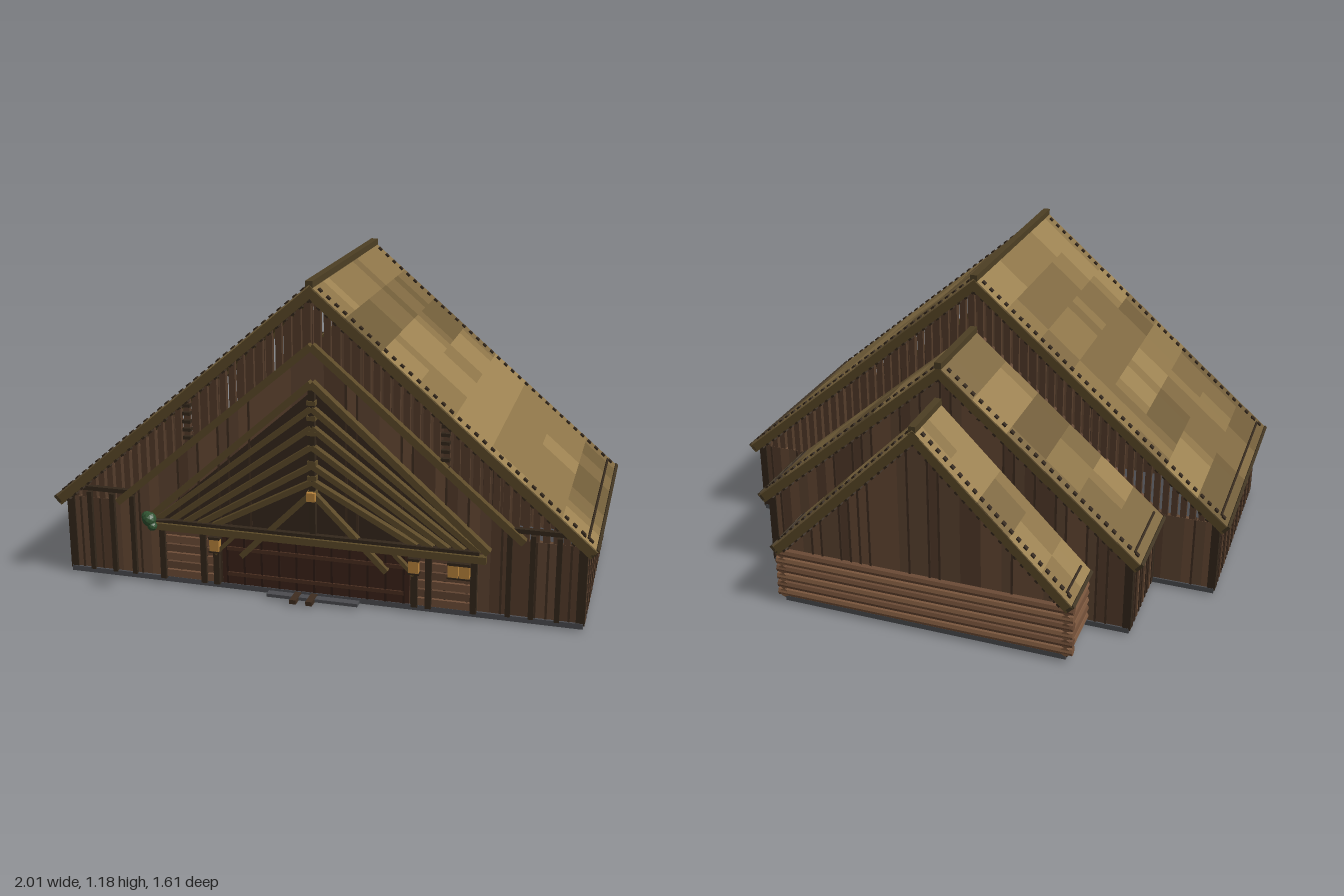
import * as THREE from 'three';
import { mergeGeometries } from 'three/addons/utils/BufferGeometryUtils.js';

const ROOF = [0x9a8050, 0x8b7347, 0x7d6740, 0x6f5b38];
const WALL = [0x5f4532, 0x543c2b, 0x694b36];
const DARK = 0x33271b, TRIM = 0x5c4a28, BATTEN = 0x3f2d20;

export function createModel() {
  const root = new THREE.Group();
  let seed = 7;
  const rand = () => (seed = (seed * 16807) % 2147483647) / 2147483647;

  // Collect geometries by part and colour, merged into one mesh each at the end
  const parts = new Map();
  const put = (name, color, geo) => {
    const key = name + '|' + color;
    if (!parts.has(key)) parts.set(key, { name, color, geos: [] });
    parts.get(key).geos.push(geo.index ? geo.toNonIndexed() : geo);
  };
  const box = (name, color, w, h, d, x, y, z) =>
    put(name, color, new THREE.BoxGeometry(w, h, d).translate(x, y, z));
  // Straight beam in a plane of constant z
  const beam = (name, color, x1, y1, x2, y2, z, t, d) =>
    put(name, color, new THREE.BoxGeometry(Math.hypot(x2 - x1, y2 - y1), t, d)
      .rotateZ(Math.atan2(y2 - y1, x2 - x1))
      .translate((x1 + x2) / 2, (y1 + y2) / 2, z));
  // Upright board with sloping ends
  const plank = (name, color, x0, x1, bottom, top, z, d) => {
    if (top(x0) - bottom(x0) < 0.004 && top(x1) - bottom(x1) < 0.004) return;
    const s = new THREE.Shape([[x0, bottom(x0)], [x1, bottom(x1)], [x1, top(x1)], [x0, top(x0)]]
      .map(p => new THREE.Vector2(...p)));
    put(name, color, new THREE.ExtrudeGeometry(s, { depth: d, bevelEnabled: false }).translate(0, 0, z - d / 2));
  };

  // Three stepped halls, each with its own roof
  const halls = [
    { name: 'main', peak: 1.165, half: 1.0, eave: 0.31, z0: -0.2, z1: 0.69, wall: 0.95, w0: -0.18, w1: 0.66, rows: 8, cols: 14 },
    { name: 'middle', peak: 0.965, half: 0.76, eave: 0.31, z0: -0.56, z1: -0.2, wall: 0.71, w0: -0.54, w1: -0.18, rows: 6, cols: 6 },
    { name: 'rear', peak: 0.83, half: 0.58, eave: 0.25, z0: -0.8, z1: -0.56, wall: 0.54, w0: -0.765, w1: -0.54, rows: 5, cols: 4 },
  ];
  const T = 0.024;

  function buildRoof(h) {
    const rise = h.peak - h.eave, len = Math.hypot(rise, h.half), a = Math.atan2(rise, h.half);
    const zc = (h.z0 + h.z1) / 2, depth = h.z1 - h.z0;
    for (const s of [-1, 1]) {
      // Place a box at distance u down the slope and height v above it
      const onSlope = (name, color, w, t, d, u, v, z) => put(name, color,
        new THREE.BoxGeometry(w, t, d).rotateZ(-s * a).translate(
          s * (u * Math.cos(a) + v * Math.sin(a)), h.peak - u * Math.sin(a) + v * Math.cos(a), z));
      onSlope(h.name + 'RoofDeck', TRIM, len, T - 0.004, depth, len / 2, -T / 2 - 0.002, zc);
      // Patchwork of thatch panels
      for (let r = 0; r < h.rows; r++) {
        let tone = Math.floor(rand() * 4);
        for (let c = 0; c < h.cols; c++) {
          if (rand() < 0.4) tone = Math.min(3, Math.max(0, tone + (rand() < 0.5 ? -1 : 1)));
          onSlope(h.name + 'RoofPanels', ROOF[tone], len / h.rows, 0.005, depth / h.cols,
            (r + 0.5) * len / h.rows, -0.002, h.z0 + (c + 0.5) * depth / h.cols);
        }
      }
      // Pegs down the gable edges and a pole above the eave
      const n = Math.round(len / 0.038);
      for (let i = 1; i < n; i++) {
        const edges = h.name === 'main' ? [h.z0 + 0.03, h.z1 - 0.03] : [h.z0 + 0.03];
        for (const z of edges) onSlope('roofPegs', DARK, 0.016, 0.008, 0.016, i * len / n, 0.003, z);
      }
      onSlope('eavePole', DARK, 0.008, 0.006, depth - 0.06, len - 0.05, 0.002, zc);
      onSlope('eaveBoard', 0x3f3320, 0.012, T + 0.01, depth, len - 0.004, -T / 2, zc);
      // Sheathing ends and barge boards on the gable
      for (const z of [h.z0 + 0.01, h.z1 - 0.01]) {
        onSlope('bargeBoards', TRIM, len, 0.016, 0.02, len / 2, -T - 0.006, z);
        for (let i = 1; i < n; i++) onSlope('rafterPegs', DARK, 0.014, 0.008, 0.02, i * len / n, -T - 0.016, z);
      }
    }
    box('ridgeCap', 0x4d3f24, 0.026, 0.024, depth, 0, h.peak + 0.002, zc);
  }

  function buildGable(h, z, slatted) {
    const slope = (h.peak - h.eave) / h.half, n = Math.round(h.wall / 0.04), w = h.wall / n;
    const top = x => h.peak - 0.033 - slope * Math.abs(x);
    const solid = slatted ? x => Math.min(top(x), Math.max(0.31, 0.95 - 0.868 * Math.abs(x))) : top;
    for (let i = -n; i < n; i++) {
      const x = i * w;
      plank(h.name + 'GableBoards', WALL[Math.floor(rand() * 3)], x, x + w, () => 0.02, solid, z, 0.018);
      if (rand() < 0.5) plank('gableBattens', BATTEN, x - 0.004, x + 0.004, () => 0.02, solid, z, 0.026);
    }
    // Open slats below the rafters
    if (slatted) for (let i = -27; i < 27; i++) {
      const x = (i + 0.5) * 0.035;
      plank('gableSlats', WALL[1], x - 0.0115, x + 0.0115, solid, top, z, 0.016);
    }
  }

  for (const h of halls) {
    buildRoof(h);
    const zc = (h.w0 + h.w1) / 2, d = h.w1 - h.w0;
    box('foundation', 0x4b4c50, h.wall * 2 + 0.02, 0.02, d + 0.01, 0, 0.018, zc);
    buildGable(h, h.w0 + 0.01, h.name === 'main');
    if (h.name === 'main') buildGable(h, h.w1 - 0.012, true);
    for (const s of [-1, 1]) {
      const x = s * h.wall, high = h.eave - 0.02;
      box(h.name + 'SideWall', WALL[1], 0.02, high, d, x, 0.02 + high / 2, zc);
      for (const z of [h.w0 + 0.01, h.w1 - 0.012]) box('cornerPosts', DARK, 0.03, high, 0.028, x, 0.02 + high / 2, z);
      if (h.name === 'rear') continue;
      const n = Math.round(d / 0.033);
      for (let i = 1; i < n; i++)
        box('sideBattens', i % 3 ? BATTEN : WALL[2], 0.012, high, 0.009 + 0.006 * rand(),
          x + s * 0.01, 0.02 + high / 2, h.w0 + i * d / n);
    }
  }

  // Log courses round the rear hall
  for (let i = 0; i < 6; i++) {
    const y = 0.047 + i * 0.034, c = i % 2 ? 0x6b4a34 : 0x7a563c;
    const log = (len) => new THREE.CylinderGeometry(0.018, 0.018, len, 8);
    put('rearLogs', c, log(1.15).rotateZ(Math.PI / 2).translate(0, y, -0.765));
    for (const s of [-1, 1]) put('sideLogs', c, log(0.24).rotateX(Math.PI / 2).translate(s * 0.55, y, -0.66));
  }

  // Front facade: nested rafters over the entrance
  const chevron = (peak, x, y, z, t, d) => {
    for (const s of [-1, 1]) beam('facadeRafters', TRIM, 0, peak, s * x, y, z, t, d);
  };
  chevron(0.95, 0.75, 0.31, 0.669, 0.026, 0.03);
  chevron(0.82, 0.63, 0.26, 0.672, 0.024, 0.034);
  [0.73, 0.66, 0.59, 0.52, 0.46].forEach((p, i) => chevron(p, 0.6 - i * 0.055, 0.255, 0.67, 0.02, 0.032));
  chevron(0.42, 0.27, 0.15, 0.676, 0.02, 0.026);
  plank('porchShade', 0x35271c, -0.6, 0, () => 0.25, x => 0.79 + 0.88 * x, 0.656, 0.008);
  plank('porchShade', 0x35271c, 0, 0.6, () => 0.25, x => 0.79 - 0.88 * x, 0.656, 0.008);
  box('kingPost', DARK, 0.022, 0.55, 0.03, 0, 0.54, 0.668);
  for (let i = 0; i < 8; i++) box('kingPostPegs', TRIM, 0.032, 0.016, 0.034, 0, 0.42 + i * 0.055, 0.67);
  box('porchBeam', TRIM, 1.25, 0.026, 0.026, 0, 0.24, 0.69);
  box('porchBeamCap', DARK, 1.2, 0.012, 0.02, 0, 0.26, 0.685);

  // Log panels, door and posts
  box('door', 0x3b2319, 0.7, 0.2, 0.012, 0, 0.13, 0.66);
  for (let i = -5; i <= 5; i++) box('doorStiles', 0x2d1b14, 0.008, 0.2, 0.016, i * 0.066, 0.13, 0.661);
  for (const y of [0.07, 0.17]) box('doorRails', 0x4a2e20, 0.66, 0.014, 0.02, 0, y, 0.662);
  for (const s of [-1, 1]) {
    for (let i = 0; i < 6; i++)
      box('frontLogs', i % 2 ? 0x5f4330 : 0x6f4e38, 0.2, 0.028, 0.02, s * 0.48, 0.045 + i * 0.034, 0.66);
    for (const x of [0.37, 0.42, 0.58]) box('porchPosts', DARK, 0.022, 0.21, 0.026, s * x, 0.13, 0.667);
    for (const x of [0.7, 0.78, 0.87]) box('facadePosts', DARK, 0.018, 0.31, 0.018, s * x, 0.18, 0.662);
    box('tieBeam', DARK, 0.27, 0.016, 0.02, s * 0.82, 0.35, 0.662);
    for (let i = 0; i < 7; i++) box('ladderRungs', DARK, 0.03, 0.012, 0.02, s * 0.47, 0.55 + i * 0.03, 0.66);
    beam('porchBraces', TRIM, s * 0.37, 0.15, s * 0.28, 0.24, 0.68, 0.014, 0.02);
    // Hanging lanterns
    for (const x of s > 0 ? [0.37, 0.51, 0.55] : [0.37]) {
      box('lanternGlow', 0xb9843c, 0.036, 0.046, 0.024, s * x, 0.185, 0.685);
      box('lanternCap', DARK, 0.042, 0.01, 0.028, s * x, 0.213, 0.685);
      box('lanternBase', DARK, 0.042, 0.006, 0.028, s * x, 0.16, 0.685);
    }
  }
  box('gableLantern', 0xb9843c, 0.032, 0.032, 0.02, 0, 0.41, 0.692);

  // Threshold, steps and scattered paving
  box('threshold', 0x4b4c50, 0.34, 0.012, 0.03, 0, 0.018, 0.69);
  for (const x of [-0.06, 0]) box('stepRunners', BATTEN, 0.024, 0.016, 0.07, x, 0.02, 0.705);
  for (let i = 0; i < 36; i++)
    put('pavingStones', 0x3a3a3c, new THREE.CylinderGeometry(0.016, 0.018, 0.012, 6)
      .translate((rand() - 0.5) * 0.32, 0.006, 0.44 + rand() * 0.22));

  // Leafy bundle on a leaning pole
  const from = new THREE.Vector3(-0.53, 0.265, 0.69), to = new THREE.Vector3(-0.58, 0.295, 0.78);
  put('bundlePole', DARK, new THREE.TubeGeometry(new THREE.LineCurve3(from, to), 1, 0.006, 6));
  for (const [x, y, z, r] of [[0, 0.005, 0, 0.026], [0.012, -0.018, 0.004, 0.018], [-0.012, 0.012, -0.006, 0.02]])
    put('leafBundle', 0x2f5230, new THREE.IcosahedronGeometry(r, 1).translate(to.x + x, to.y + y, to.z + z));

  for (const { name, color, geos } of parts.values()) {
    const mesh = new THREE.Mesh(mergeGeometries(geos),
      new THREE.MeshStandardMaterial({ color, flatShading: true }));
    mesh.name = name;
    root.add(mesh);
  }
  return root;
}
